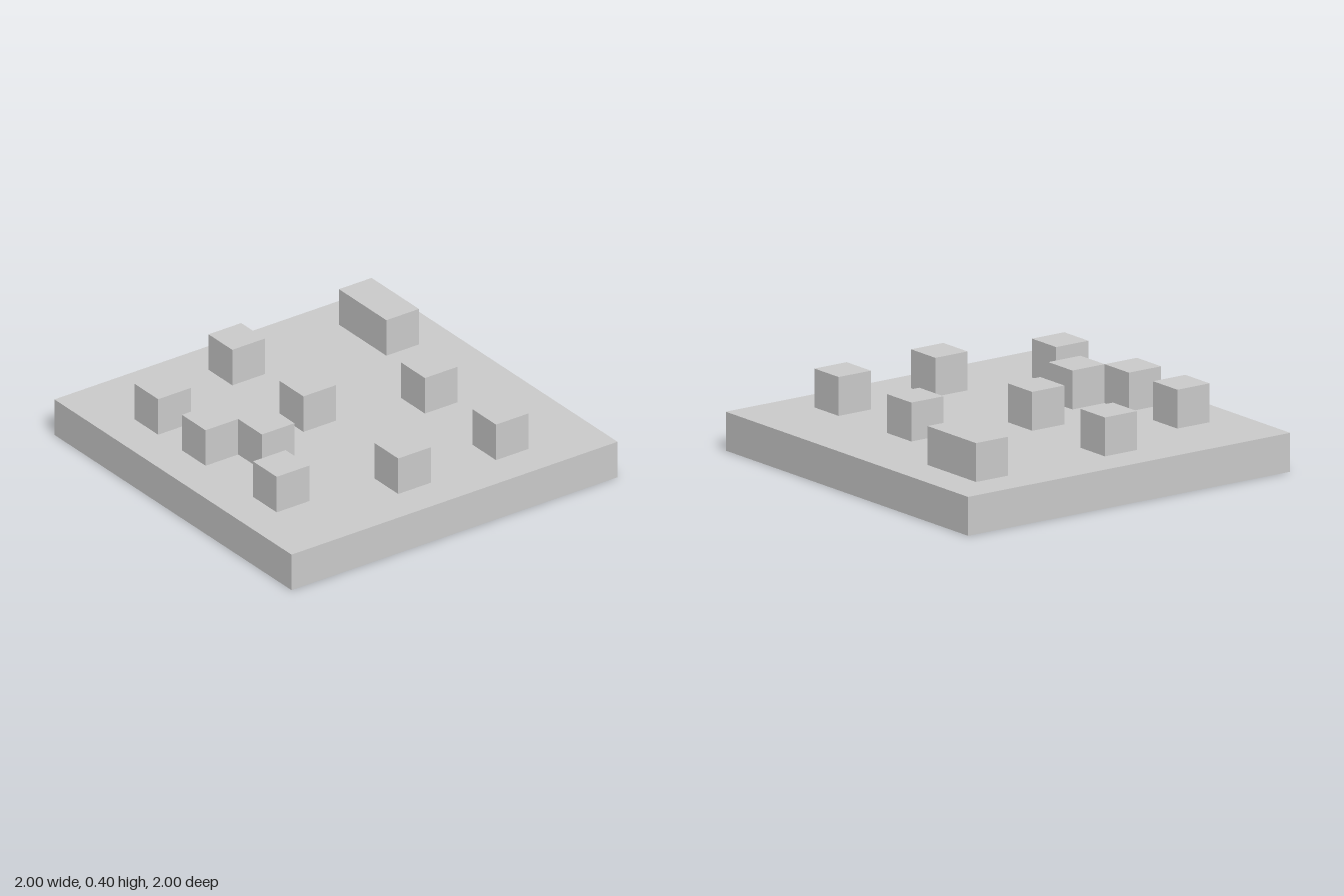
import * as THREE from 'three';

const CELL = 0.2;

export function createModel() {
  const model = new THREE.Group();
  const material = new THREE.MeshStandardMaterial({ color: 0xcccccc, flatShading: true });

  function addBox(name, width, depth, x, y, z) {
    const mesh = new THREE.Mesh(new THREE.BoxGeometry(width, CELL, depth), material);
    mesh.name = name;
    mesh.position.set(x, y, z);
    model.add(mesh);
  }

  // Square base slab
  addBox('baseSlab', 2, 2, 0, CELL / 2, 0);

  // Long block, two cells wide, at the back
  addBox('longBlock', 2 * CELL, CELL, -0.6, 1.5 * CELL, -0.7);

  // Single-cell cubes standing on the slab, as [x, z] centres
  const cubes = [
    [0.1, -0.5], [0.7, -0.5],
    [-0.7, 0.1], [-0.1, 0.1], [0.7, 0.1],
    [0.1, 0.5],
    [-0.5, 0.7], [-0.1, 0.7], [0.5, 0.7],
  ];
  cubes.forEach(([x, z], i) => addBox(`cubeBlock${i + 1}`, CELL, CELL, x, 1.5 * CELL, z));

  return model;
}
